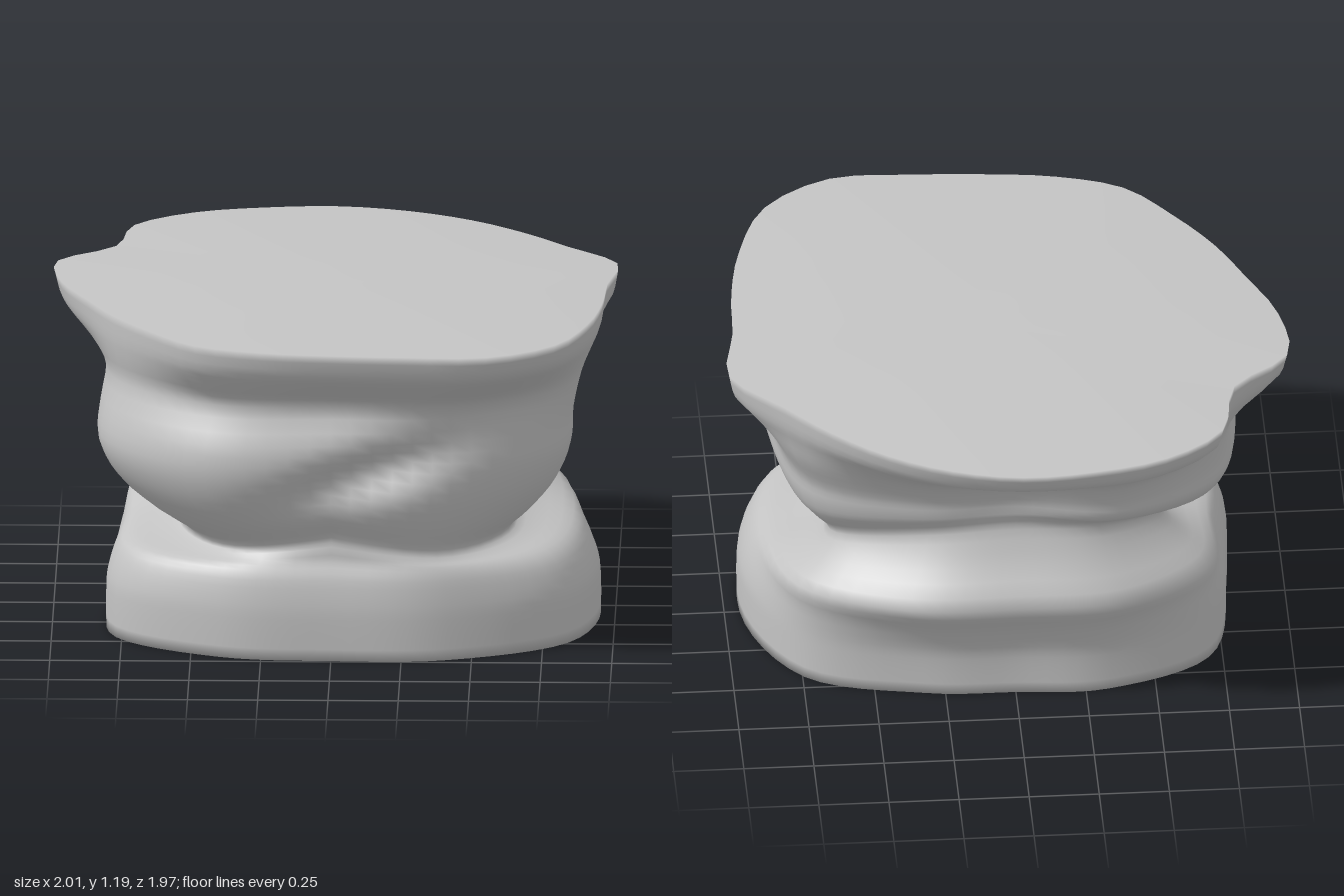
import * as THREE from 'three';

const SEGMENTS = 72; // columns around the rock
const HEIGHT = 1.19;

// Closed outline through radii at equal angles, from +x towards +z
function outline(...radii) {
  const points = radii.map((r, i) => {
    const a = (i / radii.length) * Math.PI * 2;
    return new THREE.Vector3(r * Math.cos(a), 0, r * Math.sin(a));
  });
  return new THREE.CatmullRomCurve3(points, true, 'catmullrom');
}

const base = outline(0.945, 0.97, 0.83, 0.74, 0.8, 0.89, 0.79, 0.81, 0.67, 0.58, 0.65, 0.86);
const roll = outline(0.85, 0.87, 0.79, 0.69, 0.75, 0.81, 0.72, 0.8, 0.77, 0.71, 0.78, 0.88);
const neck = outline(0.63, 0.72, 0.75, 0.68, 0.69, 0.61, 0.53, 0.61, 0.61, 0.57, 0.62, 0.72);
const belly = outline(0.83, 0.93, 0.86, 0.81, 0.9, 0.92, 0.82, 0.83, 0.73, 0.59, 0.67, 0.82);
const waist = outline(0.88, 0.95, 0.86, 0.75, 0.83, 0.87, 0.81, 0.85, 0.79, 0.66, 0.74, 0.89);
const top = outline(
  0.97, 0.99, 1.05, 1.13, 1.115, 1.005, 0.955, 0.955, 0.965, 0.915, 0.9, 0.91,
  0.975, 1.025, 0.91, 1.03, 1.035, 1, 0.985, 0.96, 0.94, 0.93, 0.95, 1.035,
);

// Wall from the ground up: height, extra height at the back, two outlines and their blend
const levels = [
  [0, 0, base, roll, 0],
  [0.12, 0, base, roll, 0],
  [0.2, 0, base, roll, 0.08],
  [0.29, 0.02, base, roll, 0.45],
  [0.35, 0.09, base, roll, 1],
  [0.39, 0.18, roll, neck, 0.6],
  [0.44, 0.25, roll, neck, 1],
  [0.52, 0.22, neck, belly, 0.42],
  [0.61, 0.15, neck, belly, 0.8],
  [0.71, 0.08, neck, belly, 1],
  [0.81, 0.03, belly, waist, 0.15],
  [0.94, 0, belly, waist, 1],
  [1.03, 0, waist, top, 0.48],
  [1.1, 0, waist, top, 0.86],
  [HEIGHT, 0, waist, top, 1],
];

// Hollow under the slanting fold on the front face
function foldDepth(x, y, z) {
  if (z < 0) return 0;
  const across = (x - 0.15) / 0.27;
  const up = (y - 0.69 - 0.33 * (x - 0.12)) / 0.08;
  return 0.09 * Math.exp(-across * across - up * up);
}

// One column of points: centre of the underside, up the wall, centre of the flat cap
function column(u) {
  const a = u * Math.PI * 2;
  // The neck climbs at the back and dips at the two front corners
  const rise = Math.max(0, -Math.sin(a)) - 0.5 * Math.max(0, Math.sin(a)) * Math.abs(Math.cos(a));
  const points = levels.map(([y, lift, from, to, blend]) => {
    const p = from.getPoint(u).lerp(to.getPoint(u), blend);
    return p.setY(y + lift * rise);
  });
  const wall = new THREE.CatmullRomCurve3(points, false, 'catmullrom')
    .getPoints((levels.length - 1) * 3);
  for (const p of wall) p.z -= foldDepth(p.x, p.y, p.z);
  return [new THREE.Vector3(0, 0, 0), ...wall, new THREE.Vector3(0, HEIGHT, 0)];
}

export function createModel() {
  const group = new THREE.Group();
  group.name = 'boulder';
  const stone = new THREE.MeshStandardMaterial({ color: 0xc4c4c4 });
  stone.name = 'pale grey stone';

  const columns = Array.from({ length: SEGMENTS }, (_, i) => column(i / SEGMENTS));
  const rows = columns[0].length;
  const index = [];
  for (let i = 0; i < SEGMENTS; i++) {
    for (let j = 0; j < rows - 1; j++) {
      const a = i * rows + j;
      const b = ((i + 1) % SEGMENTS) * rows + j;
      // The ends close in a single point, so they take one triangle each
      if (j < rows - 2) index.push(a, a + 1, b + 1);
      if (j > 0) index.push(a, b + 1, b);
    }
  }

  const geometry = new THREE.BufferGeometry().setFromPoints(columns.flat());
  geometry.setIndex(index);
  geometry.computeVertexNormals();
  const rock = new THREE.Mesh(geometry, stone);
  rock.name = 'rockBody';
  group.add(rock);
  return group;
}
